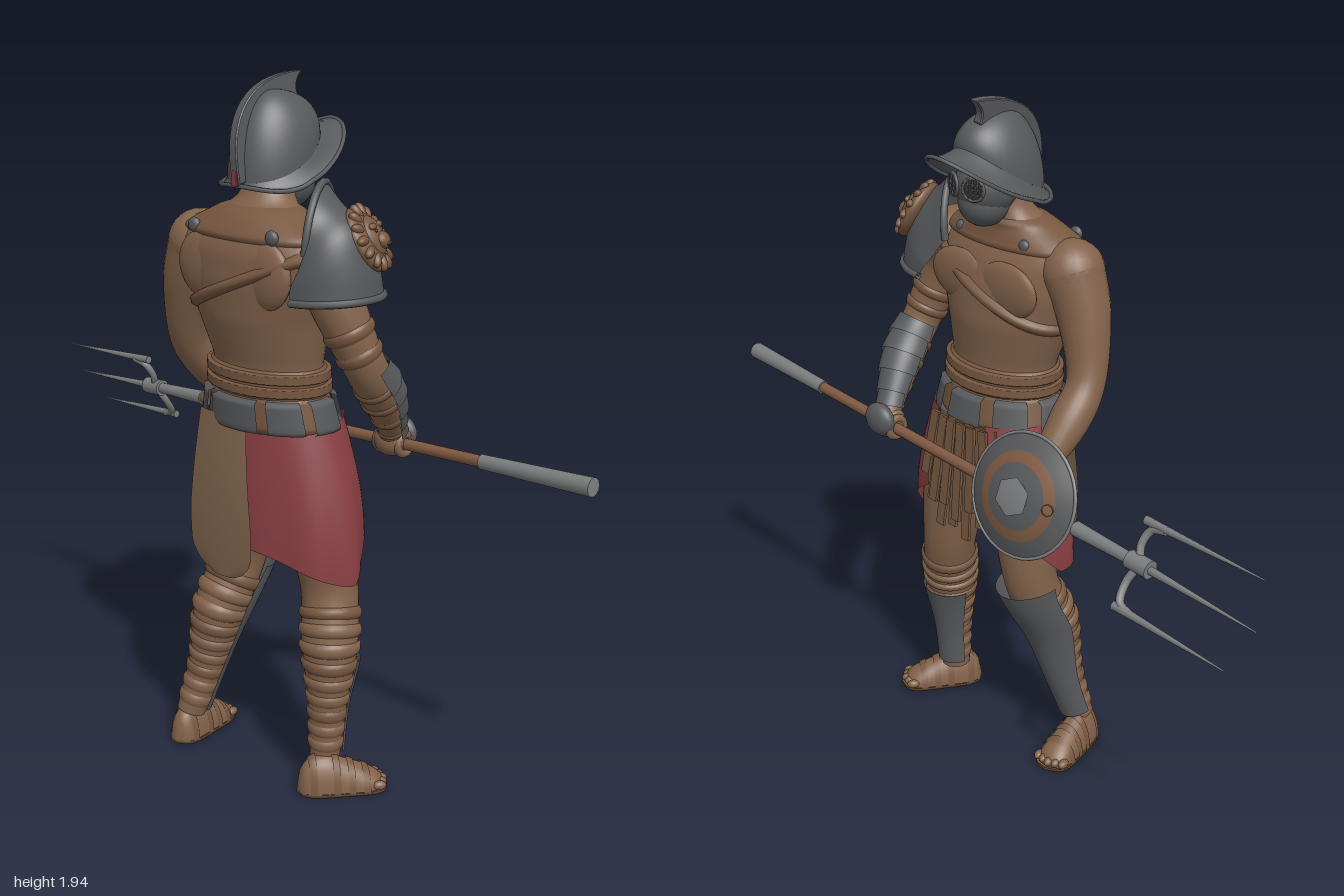
import * as THREE from 'three';
import { mergeVertices } from 'three/addons/utils/BufferGeometryUtils.js';

const V = (x, y, z) => new THREE.Vector3(x, y, z);
const { sin, cos, abs, PI } = Math;
const lerp = THREE.MathUtils.lerp;

export function createModel() {
  const root = new THREE.Group();
  const M = {};
  const colours = { skin: 0x83634b, leather: 0x785841, wood: 0x805a42, cloth: 0x8a3f43, iron: 0x58595c, steel: 0x7c7d7e, tan: 0x83674e, dark: 0x38302c };
  for (const [name, c] of Object.entries(colours)) {
    M[name] = new THREE.MeshStandardMaterial({ color: c, side: THREE.DoubleSide });
    M[name].name = name;
  }
  const add = (name, geo, mat, parent = root) => {
    const m = new THREE.Mesh(geo, M[mat]);
    m.name = name;
    parent.add(m);
    return m;
  };
  // Surface from a rule f(u, v) with u and v running 0..1
  const grid = (f, nu, nv) => {
    const p = [], idx = [];
    for (let j = 0; j <= nv; j++) for (let i = 0; i <= nu; i++) p.push(...f(i / nu, j / nv).toArray());
    for (let j = 0; j < nv; j++) for (let i = 0; i < nu; i++) {
      const a = j * (nu + 1) + i, b = a + nu + 1;
      idx.push(a, b, a + 1, b, b + 1, a + 1);
    }
    let g = new THREE.BufferGeometry();
    g.setAttribute('position', new THREE.Float32BufferAttribute(p, 3));
    g.setIndex(idx);
    g = mergeVertices(g, 1e-5);
    g.computeVertexNormals();
    return g;
  };
  const ball = (name, mat, c, r, parent) => {
    const m = add(name, new THREE.SphereGeometry(1, 20, 14), mat, parent);
    m.position.set(...c);
    m.scale.set(...r);
    return m;
  };
  const rod = (name, mat, a, b, ra, rb, n = 12) => {
    const d = b.clone().sub(a);
    const m = add(name, new THREE.CylinderGeometry(rb, ra, d.length(), n), mat);
    m.position.copy(a).add(b).multiplyScalar(0.5);
    m.quaternion.setFromUnitVectors(V(0, 1, 0), d.normalize());
  };
  const tube = (name, mat, pts, r) =>
    add(name, new THREE.TubeGeometry(new THREE.CatmullRomCurve3(pts), 28, r, 8), mat);
  // Limb running down through [x, y, z, radius]; angle PI/2 faces -z
  const limb = (pts) => {
    const path = new THREE.CatmullRomCurve3(pts.map(p => V(p[0], p[1], p[2])), false, 'catmullrom');
    const rad = new THREE.CatmullRomCurve3(pts.map(p => V(p[3], 0, 0)), false, 'catmullrom');
    return (t0, t1, grow = () => 1, a0 = 0, a1 = 2 * PI, nv = 30) => grid((i, v) => {
      const t = lerp(t0, t1, v), c = path.getPoint(t), d = path.getTangent(t), a = lerp(a0, a1, i);
      const u = V(1, 0, 0).addScaledVector(d, -d.x).normalize(), w = d.clone().cross(u);
      if (w.z > 0) w.negate();
      const r = rad.getPoint(t).x * grow(v);
      return c.addScaledVector(u, r * cos(a)).addScaledVector(w, r * sin(a));
    }, 24, nv);
  };
  const band = g => v => 1.01 + g * Math.sqrt(sin(PI * v));

  // Torso: y, centre x, centre z, half width, half depth
  const sections = [[0.95, .115, .06, .18, .11], [1.04, .11, .07, .185, .125], [1.12, .11, .08, .168, .118], [1.2, .11, .085, .17, .115],
    [1.32, .10, .095, .205, .135], [1.42, .10, .105, .24, .135], [1.5, .10, .115, .26, .122], [1.55, .10, .118, .225, .102],
    [1.585, .10, .108, .15, .085], [1.62, .10, .085, .085, .07], [1.66, .10, .07, .066, .064], [1.72, .10, .05, .06, .06]];
  const torsoAt = y => {
    let k = sections.findIndex(s => s[0] >= y);
    k = k < 1 ? (k < 0 ? sections.length - 1 : 1) : k;
    const a = sections[k - 1], b = sections[k], t = (y - a[0]) / (b[0] - a[0]);
    return a.map((q, i) => lerp(q, b[i], t));
  };
  const onTorso = (a, y, g = 0) => {
    const s = torsoAt(y);
    return V(s[1] + (s[3] + g) * cos(a), y, s[2] + (s[4] + g) * sin(a));
  };
  const wrap = (y0, y1, g, a0 = 0, a1 = 2 * PI) =>
    grid((u, v) => onTorso(lerp(a0, a1, u), lerp(y0, y1, v), v * (1 - v) === 0 ? 0 : g), 40, 10);
  add('torso', grid((u, v) => onTorso(u * 2 * PI, lerp(.95, 1.72, v)), 40, 50), 'skin');
  for (const s of [-1, 1]) {
    ball('chestMuscle', 'skin', [.1 + s * .09, 1.43, -.004], [.11, .075, .024]);
    ball('shoulderBlade', 'skin', [.1 + s * .11, 1.45, .203], [.09, .09, .027]);
    ball('collarStud', 'iron', [.1 + s * .14, 1.55, .207], [.02, .02, .013]);
    ball('chestStud', 'iron', [.1 + s * .12, 1.55, .03], [.018, .018, .013]);
  }
  add('leatherCollar', wrap(1.53, 1.61, .01), 'leather');
  add('diagonalStrap', grid((u, v) => {
    const a = u * 2 * PI;
    let y = 1.41;
    for (let k = 0; k < 6; k++) y = 1.41 + .42 * (onTorso(a, y).x - .1);
    return onTorso(a, y + (v - .5) * .034, v === 0 || v === 1 ? .002 : .014);
  }, 48, 4), 'leather');

  // Belts and hip plates
  add('lowerBelt', wrap(1.02, 1.13, .012), 'leather');
  add('waistWrap', wrap(1.11, 1.195, .011), 'leather');
  add('middleBelt', wrap(1.125, 1.155, .022), 'leather');
  add('upperBelt', wrap(1.16, 1.19, .02), 'leather');
  for (const [c, w] of [[PI / 2, .4], [.75, .27], [2.39, .27], [0, .3], [PI, .3], [-.8, .27], [-2.34, .27], [-PI / 2, .3]])
    add('beltPlate', wrap(1.02, 1.12, .03, c - w, c + w), 'iron');

  // Skirt open at the front, back panel and hanging straps
  add('skirt', grid((u, v) => {
    const a = lerp(-2.65, 2.65, u), e = sin(v * PI / 2);
    const hem = .70 - .085 * sin(a) ** 2 + (abs(a) > 1.57 ? .13 * -cos(a) : 0);
    const fold = 1 + .02 * v * sin(a * 9);
    return V(.115 + lerp(.195, .277, e) * sin(a) * fold, lerp(1.05, hem, v), .046 + lerp(.14, .16, e) * cos(a) * fold);
  }, 60, 14), 'cloth');
  add('backPanel', grid((u, v) => {
    const s = 2 * u - 1, w = lerp(.085, .115, Math.min(1, v * 1.6)) * (v > .8 ? Math.sqrt(1 - ((v - .8) / .215) ** 2) : 1);
    return V(.062 + s * w, lerp(1.06, .6, v), .216 + .014 * sin(v * PI * .9) - .008 * s * s);
  }, 12, 30), 'tan');
  for (let layer = 0; layer < 2; layer++) for (let i = 0; i < 6; i++) {
    const f = (i + layer * .5) / 5.5 * 2 - 1, len = .35 - .06 * f * f - layer * .06 - (i % 2) * .03;
    const strap = add('frontStrap', new THREE.BoxGeometry(.03, len, .009), 'leather');
    strap.position.set(.105 + f * .122, 1.04 - len / 2, -.1 + .02 * f * f - layer * .014);
    strap.rotation.set(.1, 0, f * .15);
  }

  // Arms
  const arms = [
    ['shieldArm', [[-.115, 1.485, .115, .088], [-.16, 1.37, .115, .073], [-.2, 1.21, .085, .054], [-.207, 1.11, .01, .055], [-.2, .99, -.1, .034], [-.2, .95, -.135, .034]]],
    ['armouredArm', [[.32, 1.485, .1, .086], [.37, 1.38, .1, .07], [.415, 1.23, .05, .056], [.405, 1.13, -.03, .055], [.375, 1.02, -.11, .036], [.36, .97, -.135, .036]]]];
  for (const [name, pts] of arms) {
    const surf = limb(pts), [x, y, z, r] = pts[0], h = pts[5];
    add(name, surf(0, 1), 'skin');
    ball(name + 'Shoulder', 'skin', [x, y, z], [r, r, r]);
    ball(name + 'Hand', 'skin', [h[0], h[1] + .005, h[2] + .01], [.048, .042, .035]);
    for (let i = 0; i < 4; i++) {
      const f = add(name + 'Finger', new THREE.TorusGeometry(.027, .012, 8, 14), 'skin');
      f.position.set(h[0] - .038 + i * .025, .95 + .052 * h[0], -.15 + .025 * h[0]);
      f.rotation.y = PI / 2;
    }
    if (name === 'armouredArm') {
      for (let i = 0; i < 5; i++)
        add('forearmPlate', surf(.42 + i * .08, .52 + i * .08, v => 1.14 + .16 * v, -.25, PI, 4), 'iron');
      for (const t of [.27, .34, .5, .6, .7, .8]) add('armStrap', surf(t, t + .035, band(.09), 0, 2 * PI, 6), 'leather');
      ball('handPlate', 'iron', [.36, .99, -.168], [.054, .048, .03]);
    } else add('wristStrap', surf(.76, .84, band(.15), 0, 2 * PI, 6), 'leather');
  }

  // Shoulder guard with slanted, raised inner edge and a beast-head boss
  const ridge = new THREE.CatmullRomCurve3([V(.305, 1.685, .09), V(.355, 1.635, .09), V(.425, 1.585, .09), V(.46, 1.49, .09), V(.47, 1.41, .09)]);
  const guard = (u, v) => {
    const a = lerp(-1.65, 1.65, u), r = ridge.getPoint(v), b = V(lerp(.29, .33, v), lerp(1.53, 1.4, v), .09);
    const p = b.clone().lerp(r, cos(a));
    p.z = .09 + sin(a) * lerp(.11, .134, Math.min(1, v * 1.5));
    p.x += .5 * (p.z - .09) * (1 - v) ** 1.5;
    return p;
  };
  add('shoulderGuard', grid(guard, 28, 18), 'iron');
  for (const v of [0, 1]) tube('shoulderGuardRim', 'iron', Array.from({ length: 13 }, (_, i) => guard(i / 12, v)), .01);
  const boss = new THREE.Group();
  boss.name = 'beastBoss';
  boss.position.set(.412, 1.55, .045);
  boss.lookAt(.412 + .8, 1.55 + .5, .045 - .33);
  root.add(boss);
  ball('mane', 'leather', [0, 0, 0], [.084, .09, .03], boss);
  ball('face', 'leather', [0, 0, .016], [.05, .056, .026], boss);
  ball('muzzle', 'leather', [0, -.02, .036], [.026, .023, .018], boss);
  ball('mouth', 'dark', [0, -.034, .047], [.014, .006, .007], boss);
  for (const s of [-1, 1]) {
    ball('brow', 'leather', [s * .022, .02, .036], [.016, .009, .009], boss);
    ball('eye', 'dark', [s * .02, .007, .039], [.006, .004, .004], boss);
  }
  for (let i = 0; i < 14; i++) {
    const a = i * PI / 7;
    const tuft = ball('maneTuft', 'leather', [.064 * cos(a), .07 * sin(a), .012], [.024, .013, .014], boss);
    tuft.rotation.z = a;
  }

  // Helmet: dome, sweeping brim, crest and face mask
  const helmet = new THREE.Group();
  helmet.name = 'helmet';
  root.add(helmet);
  const inner = a => V(.107 * sin(a), 1.74 + .07 * cos(a) - .025 * sin(a) ** 2, .052 - .132 * cos(a));
  const outer = a => V(.135 * sin(a), 1.665 + .14 * ((1 + cos(a)) / 2) ** 2 - .025 * sin(a) ** 2, .05 - (cos(a) > 0 ? .222 : .145) * cos(a));
  const dome = grid((u, v) => {
    const p = inner(u * 2 * PI), f = v * PI / 2;
    return V(p.x * sin(f), lerp(p.y, 1.895, cos(f)), .06 + (p.z - .06) * sin(f));
  }, 40, 14);
  const brim = grid((u, v) => inner(u * 2 * PI).lerp(outer(u * 2 * PI), v).add(V(0, -.006 * sin(v * PI), 0)), 48, 6);
  const rim = new THREE.TubeGeometry(new THREE.CatmullRomCurve3(Array.from({ length: 32 }, (_, i) => outer(i * PI / 16)), true), 64, .006, 6, true);
  for (const [n, g] of [['dome', dome], ['brim', brim], ['brimEdge', rim]]) add(n, g, 'iron', helmet).position.x = .097;
  const cs = new THREE.Shape();
  cs.moveTo(-.2, 1.67);
  cs.bezierCurveTo(-.22, 1.85, -.13, 1.93, .055, 1.935);
  cs.quadraticCurveTo(.02, 1.905, .035, 1.875);
  cs.lineTo(.02, 1.8);
  cs.lineTo(-.15, 1.68);
  const crestGeo = new THREE.ExtrudeGeometry(cs, { depth: .022, bevelEnabled: true, bevelSize: .003, bevelThickness: .003, bevelSegments: 1, curveSegments: 16 });
  crestGeo.translate(0, -1.7, -.011).rotateY(PI / 2);
  const crest = add('crest', crestGeo, 'iron', helmet);
  crest.position.set(.105, 1.7, 0);
  crest.rotation.z = .12;
  add('crestLining', new THREE.BoxGeometry(.018, .04, .008), 'cloth', helmet).position.set(.106, 1.685, .203);
  ball('faceMask', 'iron', [.1, 1.7, .01], [.086, .085, .086], helmet);
  ball('maskChin', 'iron', [.1, 1.655, .0], [.07, .068, .07], helmet);
  for (const s of [-1, 1]) {
    const e = new THREE.Group();
    e.name = 'eyeGrille';
    e.position.set(.1 + s * .038, 1.708, -.074);
    e.rotation.y = PI - s * .4;
    helmet.add(e);
    add('eyeOpening', new THREE.CircleGeometry(.029, 20), 'dark', e).position.z = .002;
    add('eyeRim', new THREE.TorusGeometry(.03, .005, 6, 20), 'iron', e);
    for (let i = -1; i <= 1; i++) for (const r of [0, PI / 2]) {
      const b = add('grilleBar', new THREE.BoxGeometry(.003, .055, .004), 'iron', e);
      b.position.set(r ? 0 : i * .014, r ? i * .014 : 0, .004);
      b.rotation.z = r;
    }
  }

  // Legs with wraps, shin guards and sandalled feet; last values: guard top, flare, edge angle
  const legs = [
    ['shieldSideLeg', [[.03, .98, .05, .105], [-.035, .78, .03, .105], [-.07, .58, .01, .077], [-.09, .42, .075, .076], [-.12, .25, .1, .054], [-.15, .09, .14, .042]], [-.15, .2], [-.045, -.24], .41, .25, .05],
    ['guardSideLeg', [[.2, .98, .055, .105], [.255, .78, .04, .105], [.28, .58, .02, .08], [.312, .42, .05, .077], [.315, .25, .06, .054], [.312, .09, .065, .042]], [.29, .155], [.15, -.215], .64, .04, .2]];
  for (const [name, pts, heel, dir, top, flare, edge] of legs) {
    const surf = limb(pts);
    add(name, surf(0, 1, undefined, 0, 2 * PI, 40), 'skin');
    for (let i = 0; i < 9; i++) add(name + 'Wrap', surf(.47 + i * .057, .51 + i * .057, band(.1), 0, 2 * PI, 6), i % 3 ? 'skin' : 'leather');
    add(name + 'ShinGuard', surf(top, .97, v => 1.13 + flare * (1 - v) ** 3 + .12 * v ** 4, edge, PI - edge, 20), 'iron');
    const foot = new THREE.Group();
    foot.name = name + 'Foot';
    foot.position.set(heel[0], 0, heel[1]);
    foot.rotation.y = Math.atan2(dir[0], dir[1]);
    root.add(foot);
    const footAt = (u, v, g) => {
      const e = Math.sqrt(Math.max(0, 1 - abs(2 * v - 1) ** 5)), a = u * PI;
      const h = v < .35 ? .1 : lerp(.1, .035, (v - .35) / .65);
      return V(e * g * lerp(.044, .056, v) * cos(a), .008 + e * g * h * sin(a), v * .25);
    };
    add('instep', grid((u, v) => footAt(u, v, 1), 16, 24), 'skin', foot);
    for (const v0 of [.12, .38, .55, .72]) add('sandalStrap', grid((u, v) => footAt(u, v0 + v * .08, 1.07), 16, 3), 'leather', foot);
    for (let i = 0; i < 5; i++) ball('toe', 'skin', [-.042 + i * .021, .02, .237 - .006 * abs(i - 2)], [.013, .013, .02], foot);
    add('sole', grid((u, v) => {
      const p = footAt(u < .5 ? 0 : 1, v, 1.08);
      return V(p.x, u === 0 || u === 1 ? .009 : 0, p.z * 1.03);
    }, 3, 24), 'leather', foot);
  }

  // Trident
  const shaft = x => V(x, .95 + .049 * x, -.15 + .025 * x);
  rod('tridentShaft', 'wood', shaft(-.42), shaft(.68), .016, .016);
  rod('tridentSocket', 'steel', shaft(-.66), shaft(-.4), .014, .021);
  rod('tridentButt', 'steel', shaft(.66), shaft(1), .02, .025);
  rod('tridentHub', 'steel', shaft(-.66), shaft(-.59), .025, .025);
  tube('tridentCrossbar', 'steel', [V(-.665, 1.01, -.12), V(-.625, 1.0, -.125), V(-.61, .965, -.145), shaft(-.62), V(-.605, .87, -.195), V(-.615, .83, -.225), V(-.65, .815, -.23)], .011);
  for (const [a, b] of [[V(-.6, 1.018, -.12), V(-.97, 1.002, -.122)], [shaft(-.62), V(-1, .897, -.18)], [V(-.6, .82, -.232), V(-.96, .8, -.242)]])
    rod('tine', 'steel', a, b, .012, .002, 8);

  // Round shield with coloured rings, domed outward, and a strap behind
  const shield = new THREE.Group();
  shield.name = 'shield';
  shield.position.set(-.23, .97, -.18);
  shield.quaternion.setFromUnitVectors(V(0, 1, 0), V(-.1, .3, -.95).normalize());
  root.add(shield);
  const h = r => .048 * (1 - (r / .168) ** 2);
  const ring = (name, mat, a, b, lift, n = 40) =>
    add(name, new THREE.LatheGeometry([0, .25, .5, .75, 1].map(t => lerp(b, a, t)).map(r => new THREE.Vector2(r, h(r) + lift)), n), mat, shield);
  for (const [m, a, b] of [['iron', .045, .09], ['wood', .09, .12], ['iron', .12, .168]]) ring('shieldRing', m, a, b, 0);
  ring('shieldBoss', 'steel', 0, .055, .008, 6);
  ring('shieldBack', 'steel', 0, .167, -.006);
  add('shieldRim', new THREE.TorusGeometry(.167, .005, 8, 40), 'steel', shield).rotation.x = PI / 2;
  tube('shieldArmStrap', 'leather', [V(-.34, .975, -.205), V(-.32, .965, -.165), V(-.26, .95, -.15), V(-.2, .94, -.155)], .016);
  return root;
}
